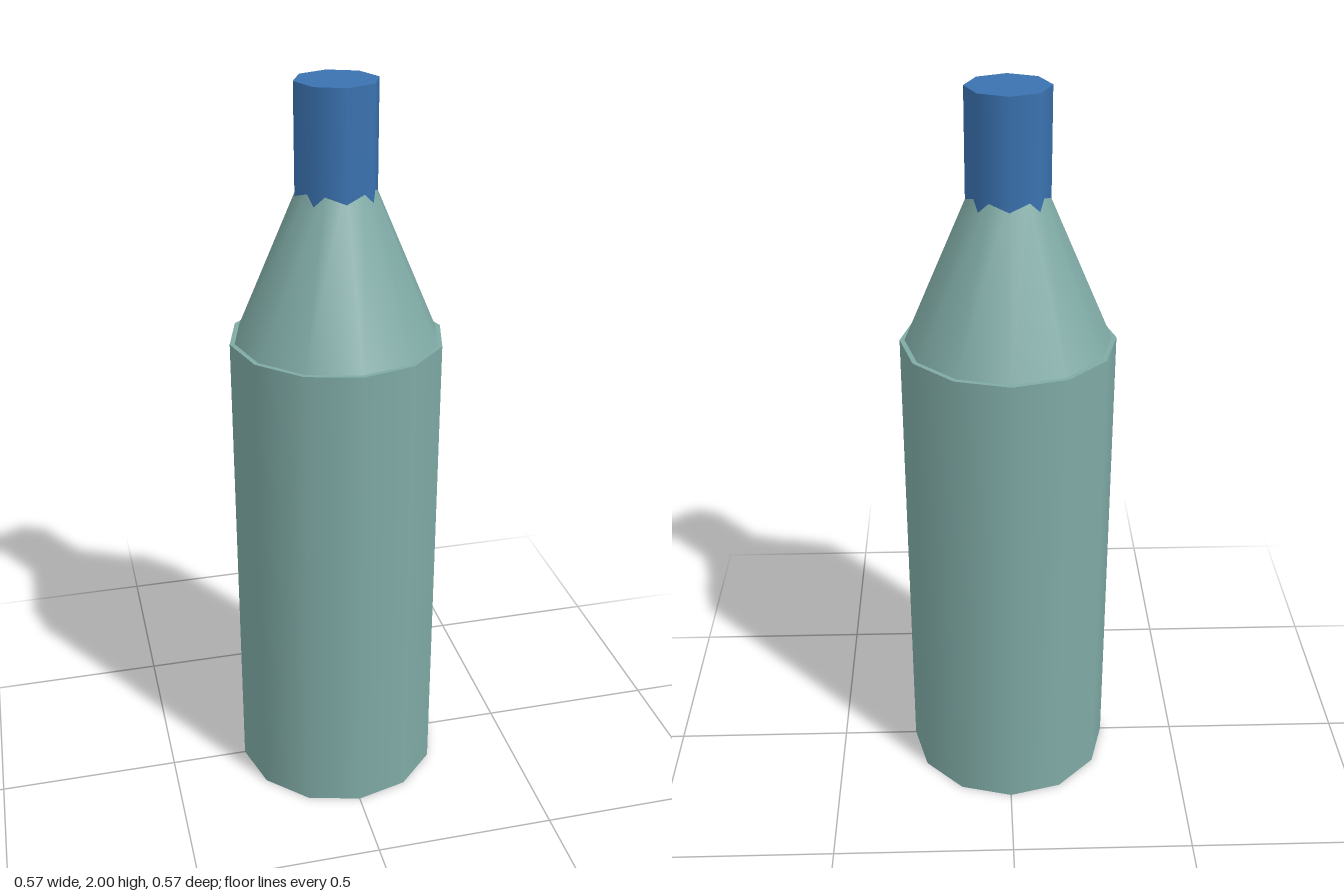
import * as THREE from 'three';

// Upright cylinder or cone spanning y0..y1
function round(name, color, rBottom, rTop, y0, y1, sides) {
  const mesh = new THREE.Mesh(
    new THREE.CylinderGeometry(rTop, rBottom, y1 - y0, sides),
    new THREE.MeshStandardMaterial({ color })
  );
  mesh.name = name;
  mesh.position.y = (y0 + y1) / 2;
  return mesh;
}

export function createModel() {
  const glass = 0x7faaa5;
  const bottle = new THREE.Group();
  bottle.name = 'bottle';
  bottle.add(
    round('body', glass, 0.285, 0.285, 0, 1.333, 12),
    // Shoulder is slightly narrower than the body, leaving a small ledge
    round('shoulder', glass, 0.272, 0.097, 1.333, 1.742, 12),
    // Cap starts inside the shoulder
    round('cap', 0x3a72b0, 0.108, 0.108, 1.66, 2, 8)
  );
  return bottle;
}
